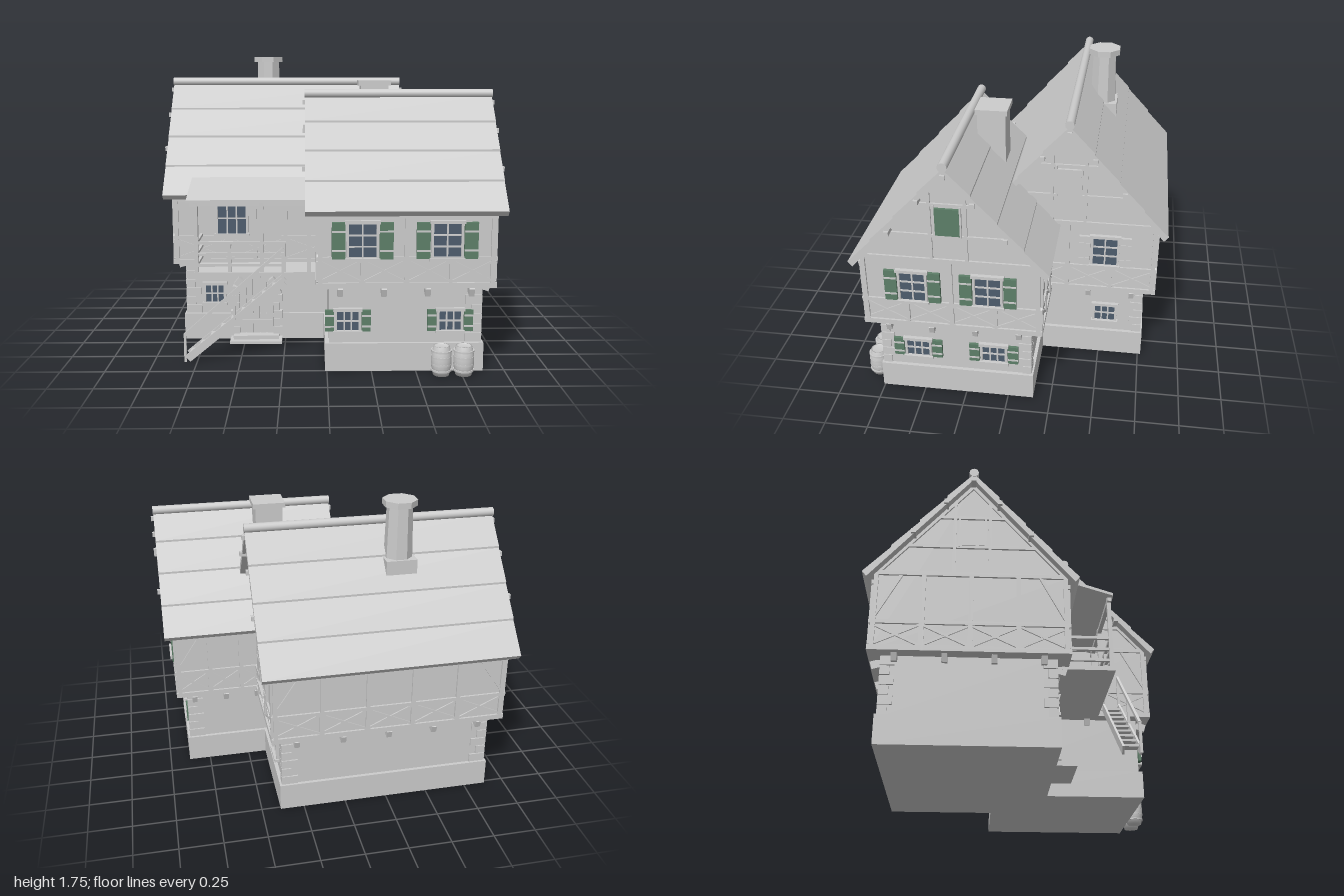
import * as THREE from 'three';

const plaster = new THREE.MeshStandardMaterial({ color: 0xcccccc });
const green = new THREE.MeshStandardMaterial({ color: 0x5d7f68 });
const glass = new THREE.MeshStandardMaterial({ color: 0x4d5c6d });
plaster.name = 'stone grey';
green.name = 'shutter green';
glass.name = 'window blue';

function add(parent, name, geo, mat = plaster, x = 0, y = 0, z = 0) {
  const m = new THREE.Mesh(geo, mat);
  m.name = name;
  m.position.set(x, y, z);
  parent.add(m);
  return m;
}
// Box given by its limits on each axis
function block(parent, name, x0, x1, y0, y1, z0, z1, mat) {
  return add(parent, name, new THREE.BoxGeometry(x1 - x0, y1 - y0, z1 - z0), mat,
    (x0 + x1) / 2, (y0 + y1) / 2, (z0 + z1) / 2);
}
// Straight timber between two points in a wall's plane
function beam(parent, u0, v0, u1, v1, w = 0.024, d = 0.024, z = 0, name = 'timber') {
  const m = add(parent, name, new THREE.BoxGeometry(Math.hypot(u1 - u0, v1 - v0), w, d), plaster,
    (u0 + u1) / 2, (v0 + v1) / 2, z);
  m.rotation.z = Math.atan2(v1 - v0, u1 - u0);
  return m;
}
// Wall plane: local x runs along the wall, local z points outwards
function face(parent, name, x, z, turn) {
  const g = new THREE.Group();
  g.name = name;
  g.position.set(x, 0, z);
  g.rotation.y = turn * Math.PI / 2;
  parent.add(g);
  return g;
}
// Extrude a (z, y) outline along x
function prism(parent, name, pts, x0, x1) {
  const geo = new THREE.ExtrudeGeometry(new THREE.Shape(pts.map(p => new THREE.Vector2(...p))),
    { depth: x1 - x0, bevelEnabled: false });
  geo.rotateY(-Math.PI / 2);
  return add(parent, name, geo, plaster, x1);
}

function windowUnit(f, u, v0, v1, w, cols, rows, shutterW = 0, shutterMat = green) {
  const g = new THREE.Group();
  g.name = 'window';
  f.add(g);
  const h = w / 2, t = 0.014;
  block(g, 'pane', u - h, u + h, v0, v1, 0, 0.008, glass);
  for (const s of [-1, 1]) {
    block(g, 'jamb', u + s * (h + t / 2) - t / 2, u + s * (h + t / 2) + t / 2, v0, v1, 0, 0.018);
    if (!shutterW) continue;
    const c = u + s * (h + 0.018 + shutterW / 2), q = shutterW / 2;
    block(g, 'shutter', c - q, c + q, v0 - 0.005, v1 + 0.008, 0, 0.018, shutterMat);
    for (const k of [0.22, 0.78]) {
      const y = v0 + (v1 - v0) * k;
      block(g, 'shutterStrap', c - q, c + q, y - 0.005, y + 0.005, 0.016, 0.022);
    }
  }
  block(g, 'lintel', u - h - 0.022, u + h + 0.022, v1, v1 + 0.018, 0, 0.024);
  block(g, 'sill', u - h - 0.022, u + h + 0.022, v0 - 0.016, v0, 0, 0.03);
  for (let i = 1; i < cols; i++) beam(g, u - h + w * i / cols, v0, u - h + w * i / cols, v1, 0.009, 0.012, 0.008, 'glazingBar');
  for (let i = 1; i < rows; i++) {
    const y = v0 + (v1 - v0) * i / rows;
    beam(g, u - h, y, u + h, y, 0.009, 0.012, 0.008, 'glazingBar');
  }
}

// Timber frame of the upper storey: sill, rail, plate, crossed panels and posts
function frame(f, u0, u1, top, panels, posts, braces) {
  for (const [y, w] of [[0.515, 0.03], [0.665, 0.022], [top, 0.024]]) beam(f, u0 - 0.01, y, u1 + 0.01, y, w);
  const step = (u1 - u0) / panels;
  for (let i = 0; i < panels; i++) {
    const a = u0 + i * step, b = a + step;
    beam(f, a, 0.53, b, 0.655, 0.014, 0.014);
    beam(f, a, 0.655, b, 0.53, 0.014, 0.016);
    if (i) beam(f, a, 0.53, a, 0.655, 0.018);
    const c = a + step / 2;
    const m = block(f, 'joistEnd', c - 0.015, c + 0.015, 0.455, 0.5, -0.06, 0);
    m.rotation.x = 0.3;
  }
  for (const k of [0, ...posts, 1]) {
    const u = u0 + 0.012 + k * (u1 - u0 - 0.024);
    beam(f, u, 0.5, u, top, 0.024);
  }
  if (braces) for (const [a, b] of [[u0, u0 + 0.15], [u1, u1 - 0.15]]) beam(f, a, 0.67, b, top, 0.018, 0.018);
}

// Timbers of a gable triangle, with a loft hatch when a material is given
function gable(f, c, half, eave, apex, hatchMat) {
  const slope = (apex - eave) / half, reach = y => (apex - y) / slope;
  const low = eave + 0.43 * (apex - eave) - 0.08, high = low + 0.19;
  for (const y of [low, high]) beam(f, c - reach(y), y, c + reach(y), y, 0.018);
  for (const s of [-1, 1]) {
    beam(f, c + s * half, eave - 0.012, c, apex - 0.012, 0.03);
    beam(f, c + s * 0.097, eave, c + s * 0.097, apex - 0.13, 0.018);
  }
  if (hatchMat) {
    block(f, 'loftHatch', c - 0.067, c + 0.067, low + 0.008, high - 0.02, 0, 0.016, hatchMat);
    for (const s of [-1, 1]) beam(f, c + s * 0.072, low, c + s * 0.072, high, 0.01, 0.03);
  }
}

// One wing: plinth, stone storey, jettied storey, roof, purlins and four wall planes
function wing(root, name, o) {
  const g = new THREE.Group();
  g.name = name;
  root.add(g);
  const { x0, x1, zc, half, apex, eaveY, roofX, roofHalf } = o;
  const z0 = zc - half, z1 = zc + half, slope = (apex - eaveY) / roofHalf;
  const wallApex = apex - 0.045, wallTop = wallApex - half * slope;
  block(g, 'plinth', x0 + 0.04, x1 - 0.04, 0.005, 0.167, z0 + 0.047, z1 - 0.047);
  block(g, 'stoneStorey', x0 + 0.062, x1 - 0.062, 0.16, 0.51, z0 + 0.067, z1 - 0.067);
  prism(g, 'upperStorey', [[z0, 0.5], [z1, 0.5], [z1, wallTop], [zc, wallApex], [z0, wallTop]], x0, x1);
  // Corner stones, alternately long and short
  for (const sx of [-1, 1]) for (const sz of [-1, 1]) {
    if (o.skip && o.skip(sx, sz)) continue;
    const cx = sx > 0 ? x1 - 0.052 : x0 + 0.052, cz = sz > 0 ? z1 - 0.057 : z0 + 0.057;
    for (let i = 0; i < 6; i++) {
      const a = i % 2 ? 0.058 : 0.095, b = i % 2 ? 0.075 : 0.052, y = 0.17 + i * 0.055;
      add(g, 'cornerStone', new THREE.BoxGeometry(a, 0.05, b), plaster, cx - sx * a / 2, y + 0.025, cz - sz * b / 2);
    }
  }
  // Roof with four lapped courses on each slope
  const side = [], n = 4, lap = 0.012;
  for (let i = 0; i < n; i++) for (const [t, l] of [[i / n, 0], [(i + 1) / n, lap]])
    side.push([roofHalf * t, apex - (apex - eaveY) * t - lap + l]);
  const under = [[roofHalf - 0.025, eaveY - 0.03], [0, apex - 0.05]];
  const right = [...side, ...under].map(([z, y]) => [zc + z, y]);
  const left = [...side.slice(1), under[0]].map(([z, y]) => [zc - z, y]).reverse();
  prism(g, 'roof', [...right, ...left], roofX[0], roofX[1]);
  const ridge = add(g, 'ridgeCap', new THREE.CylinderGeometry(0.026, 0.026, roofX[1] - roofX[0] + 0.006, 16), plaster,
    (roofX[0] + roofX[1]) / 2, apex - 0.003, zc);
  ridge.rotation.z = Math.PI / 2;
  for (const [dz, y] of [[0, apex - 0.055], [0.148, apex - 0.21], [0.32, apex - 0.41]])
    for (const s of dz ? [-1, 1] : [1])
      block(g, 'purlin', roofX[0] - 0.016, roofX[1] + 0.016, y - 0.013, y + 0.013, zc + s * dz - 0.013, zc + s * dz + 0.013);
  const f = {
    front: face(g, 'frontWall', 0, z1, 0), back: face(g, 'backWall', 0, z0, 2),
    right: face(g, 'plusXWall', x1, 0, 1), left: face(g, 'minusXWall', x0, 0, -1),
  };
  frame(f.front, x0, x1, 0.9, 4, o.frontPosts, false);
  frame(f.back, -x1, -x0, 0.9, 5, [0.2, 0.4, 0.6, 0.8], true);
  frame(f.right, -z1, -z0, wallTop, 4, [0.5], false);
  frame(f.left, z0, z1, wallTop, 4, [0.25, 0.5, 0.75], true);
  gable(f.right, -zc, half, wallTop, wallApex, o.hatch);
  gable(f.left, zc, half, wallTop, wallApex, o.hatch && plaster);
  f.lowFront = face(g, 'lowerFrontWall', 0, z1 - 0.067, 0);
  f.lowRight = face(g, 'lowerPlusXWall', x1 - 0.062, 0, 1);
  return f;
}

export function createModel() {
  const root = new THREE.Group();
  root.name = 'timberFramedHouse';
  const a = wing(root, 'rearWing', {
    x0: -0.92, x1: 0.43, zc: -0.295, half: 0.52, apex: 1.6, eaveY: 0.935,
    roofX: [-0.98, 0.49], roofHalf: 0.58, hatch: plaster, frontPosts: [0.09, 0.36, 0.5], skip: (sx, sz) => sx > 0 && sz > 0,
  });
  const b = wing(root, 'frontWing', {
    x0: -0.05, x1: 0.92, zc: 0.305, half: 0.5, apex: 1.545, eaveY: 0.935,
    roofX: [-0.12, 0.978], roofHalf: 0.555, hatch: green, frontPosts: [0.5], skip: sx => sx < 0,
  });

  // Windows
  for (const x of [0.193, 0.655]) windowUnit(b.front, x, 0.67, 0.86, 0.15, 2, 3, 0.075);
  for (const x of [0.117, 0.69]) windowUnit(b.lowFront, x, 0.24, 0.35, 0.12, 3, 2, 0.05);
  for (const z of [0.52, 0.097]) windowUnit(b.right, -z, 0.68, 0.86, 0.14, 2, 3, 0.07);
  for (const z of [0.53, 0.083]) windowUnit(b.lowRight, -z, 0.245, 0.35, 0.13, 3, 2, 0.06);
  windowUnit(a.right, 0.516, 0.69, 0.87, 0.14, 2, 3, 0.065, plaster);
  windowUnit(a.lowRight, 0.53, 0.245, 0.35, 0.12, 3, 2);
  windowUnit(a.front, -0.57, 0.69, 0.88, 0.17, 3, 2);
  windowUnit(a.lowFront, -0.69, 0.24, 0.35, 0.11, 3, 2);

  // Arched plank door with stone surround and steps
  const door = face(root, 'door', -0.43, 0.16, 0);
  for (let i = 0; i < 5; i++) {
    const u = -0.084 + i * 0.042, top = 0.29 + Math.sqrt(0.0121 - u * u);
    block(door, 'doorPlank', u - 0.019, u + 0.019, 0.04, top, 0, 0.03);
  }
  for (const y of [0.12, 0.28]) block(door, 'doorBatten', -0.1, 0.1, y - 0.01, y + 0.01, 0.028, 0.036);
  for (const s of [-1, 1]) for (let i = 0; i < 5; i++) {
    const w = i % 2 ? 0.04 : 0.055, c = s * (0.105 + w / 2);
    block(door, 'jambStone', c - w / 2, c + w / 2, 0.04 + i * 0.051, 0.088 + i * 0.051, 0, 0.045);
  }
  for (let i = 0; i < 7; i++) {
    const t = Math.PI * (i + 0.5) / 7, c = Math.cos(t), s = Math.sin(t);
    beam(door, c * 0.105, 0.29 + s * 0.105, c * 0.155, 0.29 + s * 0.155, 0.052, 0.045, 0.022, 'archStone');
  }
  block(door, 'lowerStep', -0.16, 0.16, 0.005, 0.022, 0, 0.13);
  block(door, 'upperStep', -0.14, 0.14, 0.022, 0.045, 0, 0.09);

  // Balcony, its posts, rails and lean-to roof
  const porch = new THREE.Group();
  porch.name = 'balcony';
  root.add(porch);
  block(porch, 'balconyFloor', -0.77, -0.05, 0.485, 0.51, 0.2, 0.49);
  prism(porch, 'porchRoof', [[0.2, 1.012], [0.49, 0.922], [0.49, 0.938], [0.2, 1.032]], -0.81, -0.05);
  for (const x of [-0.757, -0.375, -0.1]) block(porch, 'porchPost', x - 0.011, x + 0.011, 0.5, 0.935, 0.46, 0.482);
  for (const x of [-0.565, -0.245]) block(porch, 'railPost', x - 0.009, x + 0.009, 0.5, 0.69, 0.462, 0.48);
  block(porch, 'headBeam', -0.79, -0.05, 0.9, 0.922, 0.46, 0.482);
  const porchFront = face(porch, 'frontRailing', 0, 0.471, 0), porchSide = face(porch, 'sideRailing', -0.757, 0, -1);
  for (const y of [0.55, 0.615, 0.683]) {
    beam(porchFront, -0.765, y, -0.24, y, 0.016, 0.016, 0, 'rail');
    beam(porchSide, 0.215, y, 0.48, y, 0.016, 0.016, 0, 'rail');
  }

  // Outside stair running down towards -x
  const stair = new THREE.Group();
  stair.name = 'stair';
  root.add(stair);
  for (const z of [0.5, 0.59]) beam(stair, -0.805, 0.022, -0.245, 0.482, 0.045, 0.012, z, 'stringer');
  for (let i = 0; i < 9; i++) {
    const x = -0.765 + i * 0.06, y = 0.055 + i * 0.049;
    block(stair, 'tread', x - 0.028, x + 0.028, y - 0.006, y + 0.006, 0.5, 0.59);
  }
  beam(stair, -0.82, 0.165, -0.245, 0.675, 0.018, 0.014, 0.59, 'handrail');
  for (const [x, y] of [[-0.818, 0.005], [-0.53, 0.25], [-0.25, 0.48]]) beam(stair, x, y, x, y + 0.17, 0.014, 0.014, 0.59, 'baluster');

  // Chimneys
  const oct = (name, r0, r1, y0, y1) => {
    const m = add(root, name, new THREE.CylinderGeometry(r1, r0, y1 - y0, 8).toNonIndexed(), plaster, -0.37, (y0 + y1) / 2, -0.43);
    m.geometry.computeVertexNormals();
    m.rotation.y = Math.PI / 8;
  };
  oct('roundChimney', 0.084, 0.074, 1.35, 1.73);
  oct('roundChimneyCap', 0.1, 0.1, 1.722, 1.757);
  block(root, 'chimneyFoot', -0.46, -0.28, 1.25, 1.42, -0.52, -0.35);
  block(root, 'squareChimney', 0.21, 0.375, 1.2, 1.59, 0.078, 0.24);
  block(root, 'squareChimneyCap', 0.195, 0.39, 1.585, 1.615, 0.065, 0.25);

  // Barrels with hoops
  for (const [x, z] of [[0.635, 0.815], [0.76, 0.815]]) {
    const barrel = face(root, 'barrel', x, z, 0);
    const profile = [[0, 0.005], [0.045, 0.005], [0.055, 0.05], [0.058, 0.09], [0.055, 0.13], [0.045, 0.172], [0.04, 0.172], [0.04, 0.165], [0, 0.165]];
    add(barrel, 'staves', new THREE.LatheGeometry(profile.map(p => new THREE.Vector2(...p)), 16));
    for (const y of [0.035, 0.07, 0.11, 0.145])
      add(barrel, 'hoop', new THREE.CylinderGeometry(0.058, 0.058, 0.01, 16), plaster, 0, y, 0);
  }
  return root;
}
